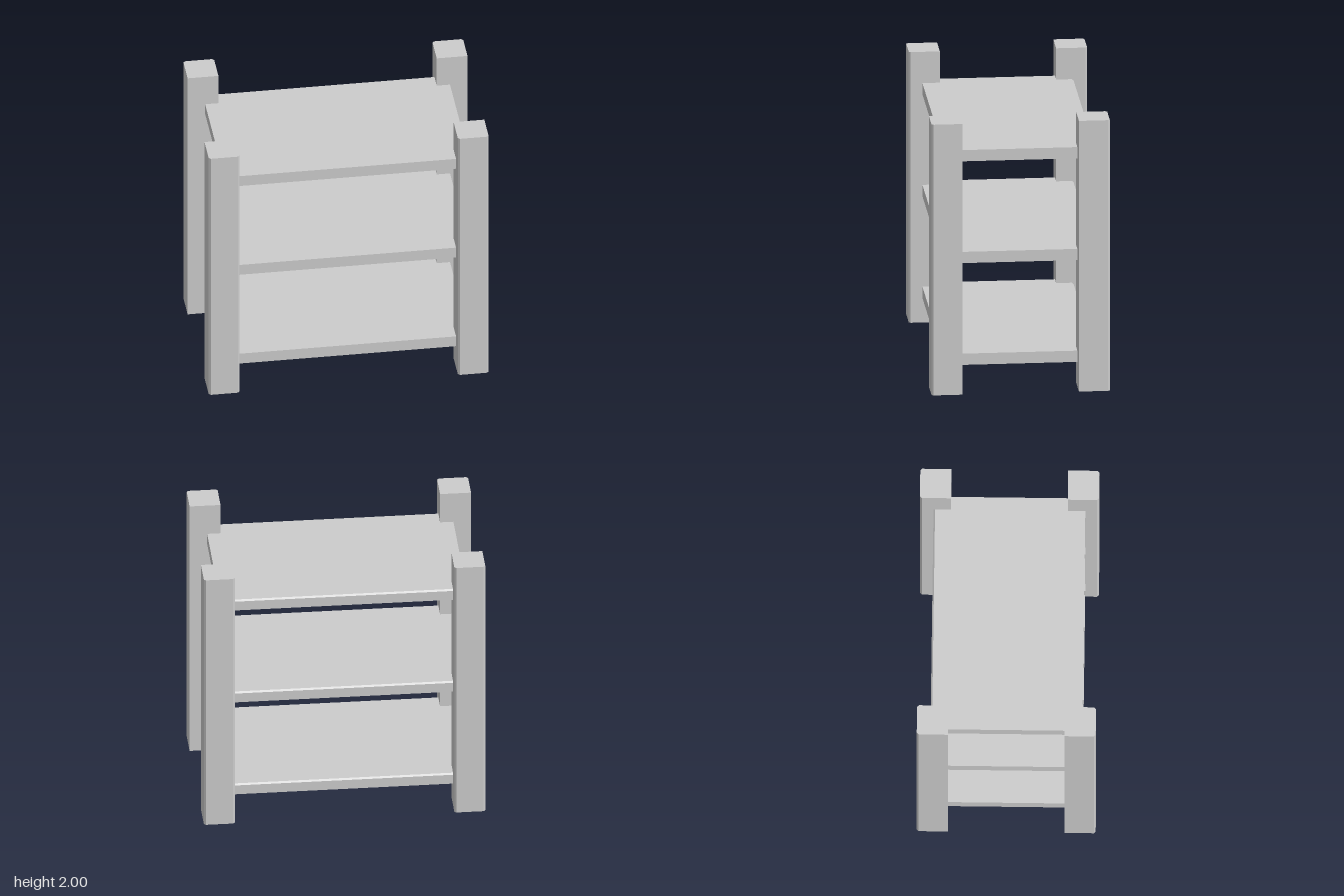
import * as THREE from 'three';

const material = new THREE.MeshStandardMaterial({ color: 0xcccccc, flatShading: true });

function prism(points, depth) {
  const shape = new THREE.Shape(points.map(([x, y]) => new THREE.Vector2(x, y)));
  return new THREE.ExtrudeGeometry(shape, { depth, bevelEnabled: false });
}

export function createModel() {
  const group = new THREE.Group();
  const add = (geometry, name) => {
    const mesh = new THREE.Mesh(geometry, material);
    mesh.name = name;
    group.add(mesh);
    return mesh;
  };

  // Square posts, with the two outward-facing vertical edges chamfered
  const w = 0.11, c = 0.013;
  const postGeometry = prism(
    [[-w, w], [-w, -w + c], [-w + c, -w], [w - c, -w], [w, -w + c], [w, w]], 2
  ).rotateX(-Math.PI / 2);
  for (const [end, sz] of [['front', 1], ['back', -1]]) {
    for (const [side, sx] of [['Left', 1], ['Right', -1]]) {
      const post = add(postGeometry, `${end}${side}Post`);
      post.position.set(sx * (1 - w), 0, sz * 0.523);
      if (sz < 0) post.rotation.y = Math.PI;
    }
  }

  // Shelves run into the posts; the top back edge is slightly chamfered
  const d = 0.537, t = 0.083, b = 0.011, length = 1.75;
  const shelfGeometry = prism([[-d, 0], [d, 0], [d, t - b], [d - b, t], [-d, t]], length)
    .rotateY(Math.PI / 2)
    .translate(-length / 2, 0, 0);
  [['bottomShelf', 0.182], ['middleShelf', 0.934], ['topShelf', 1.686]].forEach(([name, y]) => {
    add(shelfGeometry, name).position.y = y;
  });

  return group;
}
